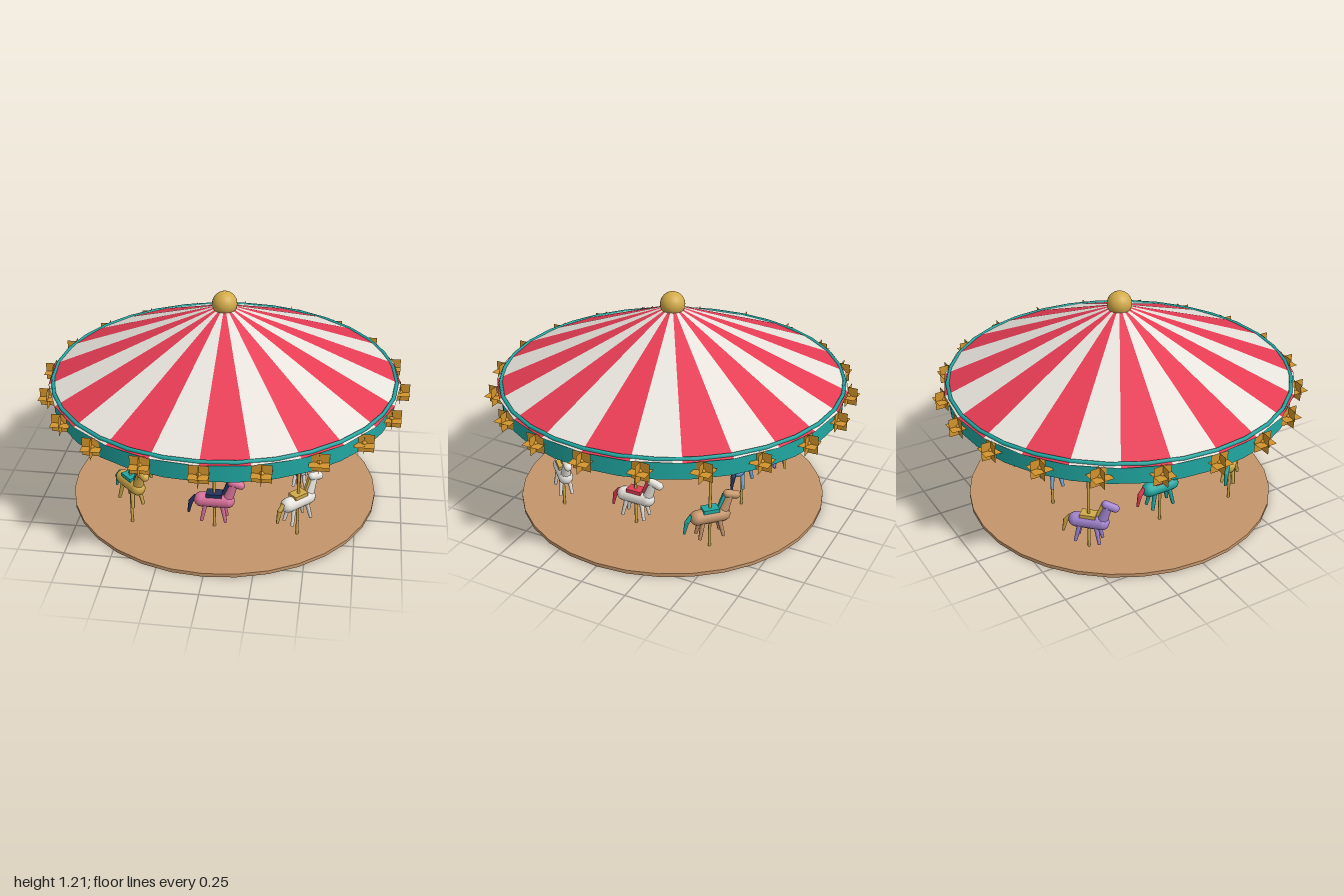
import * as THREE from 'three';
import { mergeGeometries } from 'three/addons/utils/BufferGeometryUtils.js';

const mat = (name, color, side = THREE.FrontSide) => {
  const m = new THREE.MeshStandardMaterial({ color, side });
  m.name = name;
  return m;
};

function add(parent, name, geometry, material, x = 0, y = 0, z = 0) {
  const mesh = new THREE.Mesh(geometry, material);
  mesh.name = name;
  mesh.position.set(x, y, z);
  parent.add(mesh);
  return mesh;
}

// Lays a geometry that runs along y between two points
function along(geometry, a, b) {
  const p = new THREE.Vector3(...a), q = new THREE.Vector3(...b);
  const turn = new THREE.Quaternion().setFromUnitVectors(
    new THREE.Vector3(0, 1, 0), q.clone().sub(p).normalize());
  return geometry.applyQuaternion(turn).translate(...p.add(q).multiplyScalar(0.5).toArray());
}
const dist = (a, b) => Math.hypot(a[0] - b[0], a[1] - b[1], a[2] - b[2]);
const capsule = (a, b, r) => along(new THREE.CapsuleGeometry(r, dist(a, b), 4, 12), a, b);
const taper = (a, b, ra, rb) => along(new THREE.CylinderGeometry(rb, ra, dist(a, b), 8), a, b);

// Horse facing +x, with the middle of its body at the origin
function makeHorse(coat, trim) {
  const horse = new THREE.Group();
  horse.name = 'horse';
  add(horse, 'body', capsule([-0.07, 0, 0], [0.07, 0, 0], 0.04), coat);
  add(horse, 'neck', taper([0.07, 0.01, 0], [0.105, 0.108, 0], 0.03, 0.021), coat);
  add(horse, 'head', capsule([0.092, 0.117, 0], [0.142, 0.102, 0], 0.022), coat);
  const legs = [];
  for (const sx of [-1, 1]) for (const sz of [-1, 1])
    legs.push(taper([sx * 0.045, -0.02, sz * 0.02], [sx * 0.065, -0.115, sz * 0.033], 0.013, 0.009));
  add(horse, 'legs', mergeGeometries(legs), coat);
  add(horse, 'saddle', new THREE.BoxGeometry(0.085, 0.02, 0.06), trim, 0, 0.04, 0);
  add(horse, 'mane', along(new THREE.BoxGeometry(0.022, 0.085, 0.014),
    [0.048, 0.035, 0], [0.079, 0.118, 0]), trim);
  add(horse, 'tail', mergeGeometries([
    taper([-0.1, 0.018, 0], [-0.128, -0.02, 0], 0.012, 0.013),
    taper([-0.126, -0.014, 0], [-0.14, -0.085, 0], 0.013, 0.007)]), trim);
  return horse;
}

export function createModel() {
  const model = new THREE.Group();
  model.name = 'carousel';
  const red = mat('red', 0xe63c54, THREE.DoubleSide);
  const white = mat('white', 0xe9e5de, THREE.DoubleSide);
  const teal = mat('teal', 0x20a8a2);
  const brass = mat('brass', 0xd2ab4a);
  const amber = mat('amber', 0xd3942c, THREE.DoubleSide);
  const tan = mat('tan', 0xc4956a);
  const pink = mat('pink', 0xd9709a);
  const blue = mat('blue', 0x74aede);
  const purple = mat('purple', 0xa284d0);
  const navy = mat('navy', 0x25325e);

  // Platform, flat-bottomed canopy rim and the trim around the roof edge
  add(model, 'platform', new THREE.CylinderGeometry(0.855, 0.855, 0.02, 32), tan, 0, 0.01, 0);
  add(model, 'canopyRim', new THREE.CylinderGeometry(0.93, 0.93, 0.1, 32), teal, 0, 0.67, 0);
  add(model, 'roofTrim', new THREE.TorusGeometry(0.927, 0.011, 6, 32).rotateX(Math.PI / 2),
    teal, 0, 0.729, 0);

  // Striped roof of 24 flat wedges
  const wedges = [[], []];
  const step = Math.PI / 12;
  for (let i = 0; i < 24; i++) {
    const wedge = new THREE.ConeGeometry(0.95, 0.415, 1, 1, true, i * step, step).toNonIndexed();
    wedge.computeVertexNormals();
    wedges[i % 2].push(wedge);
  }
  add(model, 'redRoofStripes', mergeGeometries(wedges[0]), red, 0, 0.9275, 0);
  add(model, 'whiteRoofStripes', mergeGeometries(wedges[1]), white, 0, 0.9275, 0);
  add(model, 'finial', new THREE.SphereGeometry(0.067, 24, 16), brass, 0, 1.138, 0);

  // Star ornaments: three crossed squares with a small bulb
  const star = mergeGeometries([
    new THREE.PlaneGeometry(0.1, 0.1),
    new THREE.PlaneGeometry(0.1, 0.1).rotateX(-Math.PI / 2),
    new THREE.PlaneGeometry(0.1, 0.1).rotateY(Math.PI / 2),
    new THREE.SphereGeometry(0.013, 10, 8)]);
  for (let i = 0; i < 20; i++) {
    const a = i * Math.PI / 10;
    add(model, 'starOrnament', star, amber, 0.95 * Math.sin(a), 0.673, 0.95 * Math.cos(a));
  }

  // Eight horses on poles: coat, trim, body height
  const horses = [
    [pink, navy, 0.185], [white, brass, 0.23], [white, red, 0.185], [tan, teal, 0.205],
    [blue, navy, 0.275], [purple, brass, 0.18], [teal, red, 0.235], [brass, teal, 0.27]];
  horses.forEach(([coat, trim, y], i) => {
    const a = i * Math.PI / 4, r = i % 2 ? 0.632 : 0.43;
    const x = r * Math.sin(a), z = r * Math.cos(a);
    add(model, 'pole', new THREE.CylinderGeometry(0.008, 0.008, 0.61, 10), brass, x, 0.32, z);
    const horse = makeHorse(coat, trim);
    horse.position.set(x, y, z);
    horse.rotation.y = a;
    model.add(horse);
  });
  return model;
}
